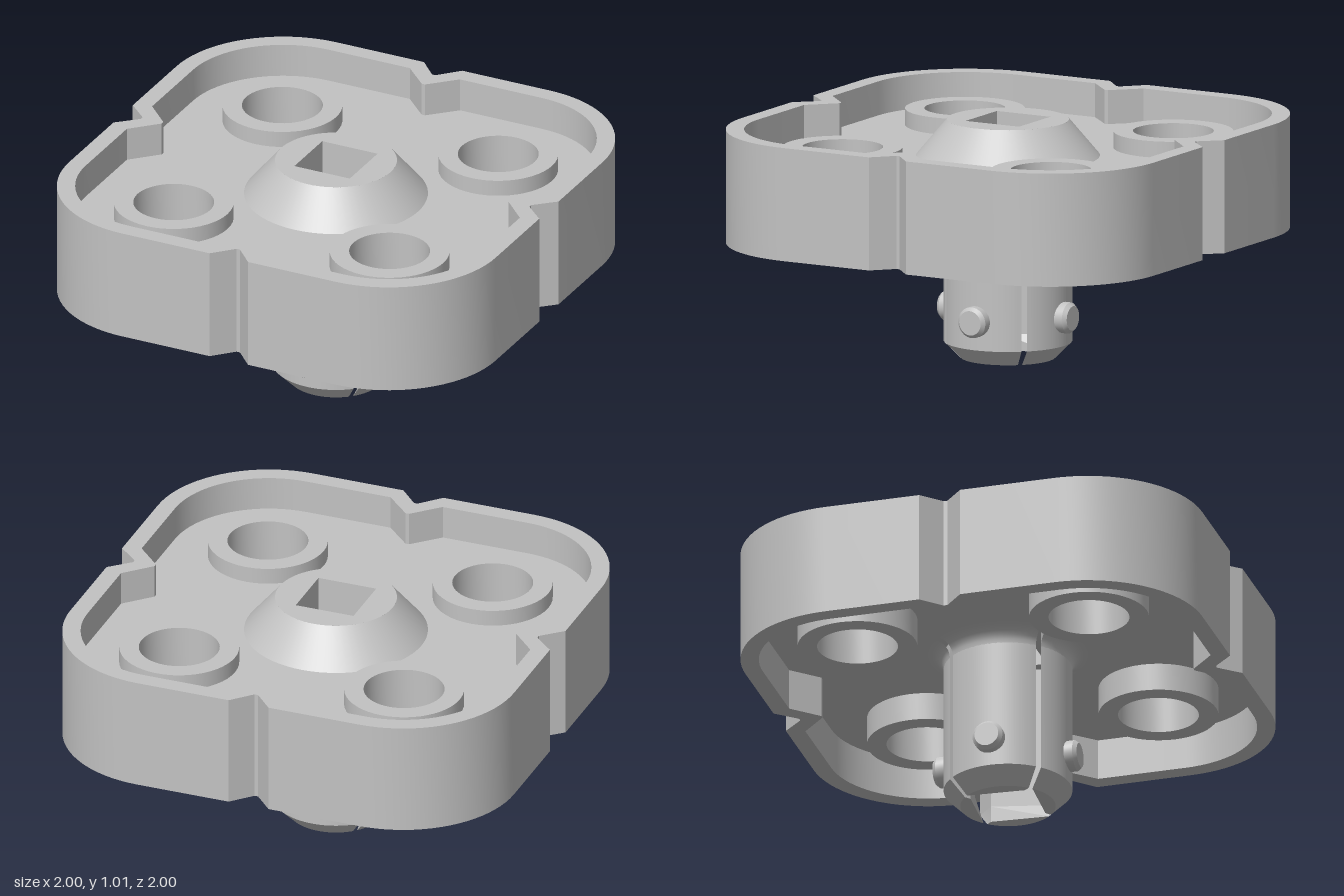
import * as THREE from 'three';
import { toCreasedNormals } from 'three/addons/utils/BufferGeometryUtils.js';

const CREASE = 0.5;
const FLOOR_LOW = 0.70, FLOOR_TOP = 0.86;
const SQUARE = 0.13; // half width of the square bore

// Rounded square with a V notch in the middle of each side.
function notchedOutline(half, radius, notch, tip) {
  const pts = [];
  const centre = half - radius;
  for (let k = 0; k < 4; k++) {
    const local = [[half, -notch], [tip, -0.008], [tip, 0.008], [half, notch]];
    for (let i = 0; i <= 20; i++) {
      const a = (i / 20) * Math.PI / 2;
      local.push([centre + radius * Math.cos(a), centre + radius * Math.sin(a)]);
    }
    for (const [x, y] of local) {
      pts.push(new THREE.Vector2(x, y).rotateAround(new THREE.Vector2(), k * Math.PI / 2));
    }
  }
  return pts;
}

function circlePath(x, y, r) {
  return new THREE.Path().absarc(x, y, r, 0, Math.PI * 2, true);
}

// Extrude a plan shape upward between two heights.
function slab(shape, y0, y1) {
  const geo = new THREE.ExtrudeGeometry(shape, { depth: y1 - y0, bevelEnabled: false, curveSegments: 40 });
  geo.rotateX(-Math.PI / 2);
  geo.translate(0, y0, 0);
  return geo;
}

function lathe(points, segments = 48, start = 0, length = Math.PI * 2) {
  const pts = points.map(([r, y]) => new THREE.Vector2(r, y));
  return toCreasedNormals(new THREE.LatheGeometry(pts, segments, start, length), CREASE);
}

export function createModel() {
  const model = new THREE.Group();
  model.name = 'notchedHubPlate';
  const grey = new THREE.MeshStandardMaterial({ color: 0xc2c2c2 });
  grey.name = 'light grey';

  const add = (name, geo, parent = model) => {
    const mesh = new THREE.Mesh(geo, grey);
    mesh.name = name;
    parent.add(mesh);
    return mesh;
  };

  // Outer wall
  const inner = notchedOutline(0.923, 0.423, 0.118, 0.815);
  const wall = new THREE.Shape(notchedOutline(1, 0.5, 0.09, 0.912));
  wall.holes.push(new THREE.Path(inner));
  add('outerWall', toCreasedNormals(slab(wall, 0.522, 1.005), CREASE));

  // Floor with holes for the bosses and the centre
  const spots = [[1, 1], [-1, 1], [-1, -1], [1, -1]].map(([x, y]) => [x * 0.507, y * 0.507]);
  const floor = new THREE.Shape(inner);
  for (const [x, y] of spots) floor.holes.push(circlePath(x, y, 0.21));
  floor.holes.push(circlePath(0, 0, 0.25));
  add('floor', toCreasedNormals(slab(floor, FLOOR_LOW, FLOOR_TOP), CREASE));

  // Four hollow bosses passing through the floor
  const bossGeo = lathe([[0.17, 0.58], [0.252, 0.58], [0.252, 0.93], [0.17, 0.93], [0.17, 0.58]]);
  for (const [x, z] of spots) add('boss', bossGeo).position.set(x, 0, z);

  // Raised centre cone with a square bore
  const core = new THREE.Shape().absarc(0, 0, 0.256, 0, Math.PI * 2);
  const s = SQUARE;
  core.holes.push(new THREE.Path([[-s, -s], [-s, s], [s, s], [s, -s]].map(([x, y]) => new THREE.Vector2(x, y))));
  add('centreCore', toCreasedNormals(slab(core, FLOOR_LOW, 1.015), CREASE));
  add('centreCone', lathe([[0.386, FLOOR_TOP], [0.256, 1.015]], 64));

  // Split stem: four fingers separated by diagonal slots
  const R = 0.27, TIP = 0.2, CHAMFER = 0.07, slot = 0.012;
  const spread = Math.PI / 4 - Math.asin(slot / R);
  const section = new THREE.Shape();
  section.moveTo(s, -(s - slot * Math.SQRT2));
  section.absarc(0, 0, R, -spread, spread, false);
  section.lineTo(s, s - slot * Math.SQRT2);
  section.closePath();
  const shaftGeo = toCreasedNormals(slab(section, CHAMFER, FLOOR_LOW), CREASE);

  // Chamfered tip: pull the lower outer edge inward
  const tipGeo = slab(section, 0, CHAMFER);
  const pos = tipGeo.attributes.position;
  for (let i = 0; i < pos.count; i++) {
    const r = Math.hypot(pos.getX(i), pos.getZ(i));
    if (pos.getY(i) < 0.01 && r > TIP) {
      pos.setX(i, pos.getX(i) * TIP / r);
      pos.setZ(i, pos.getZ(i) * TIP / r);
    }
  }
  const chamferGeo = toCreasedNormals(tipGeo, CREASE);

  // Fillet where each finger meets the floor
  const flare = [];
  for (let i = 0; i <= 6; i++) {
    const a = (i / 6) * Math.PI / 2;
    flare.push([R + 0.07 * (1 - Math.cos(a)), 0.63 + 0.07 * Math.sin(a)]);
  }
  const flareGeo = lathe(flare.map(([r, y]) => [r, y]), 16, Math.PI / 2 - spread, spread * 2);

  // Round catch pin with a bevelled rim
  const pinGeo = lathe([[0.066, 0.24], [0.066, 0.3], [0.052, 0.316], [0, 0.316]], 32);
  pinGeo.rotateZ(-Math.PI / 2);
  pinGeo.translate(0, 0.193, 0);

  for (let k = 0; k < 4; k++) {
    const finger = new THREE.Group();
    finger.name = 'stemFinger';
    add('fingerShaft', shaftGeo, finger);
    add('fingerTip', chamferGeo, finger);
    add('fingerFillet', flareGeo, finger);
    add('catchPin', pinGeo, finger);
    finger.rotation.y = k * Math.PI / 2;
    model.add(finger);
  }
  return model;
}
